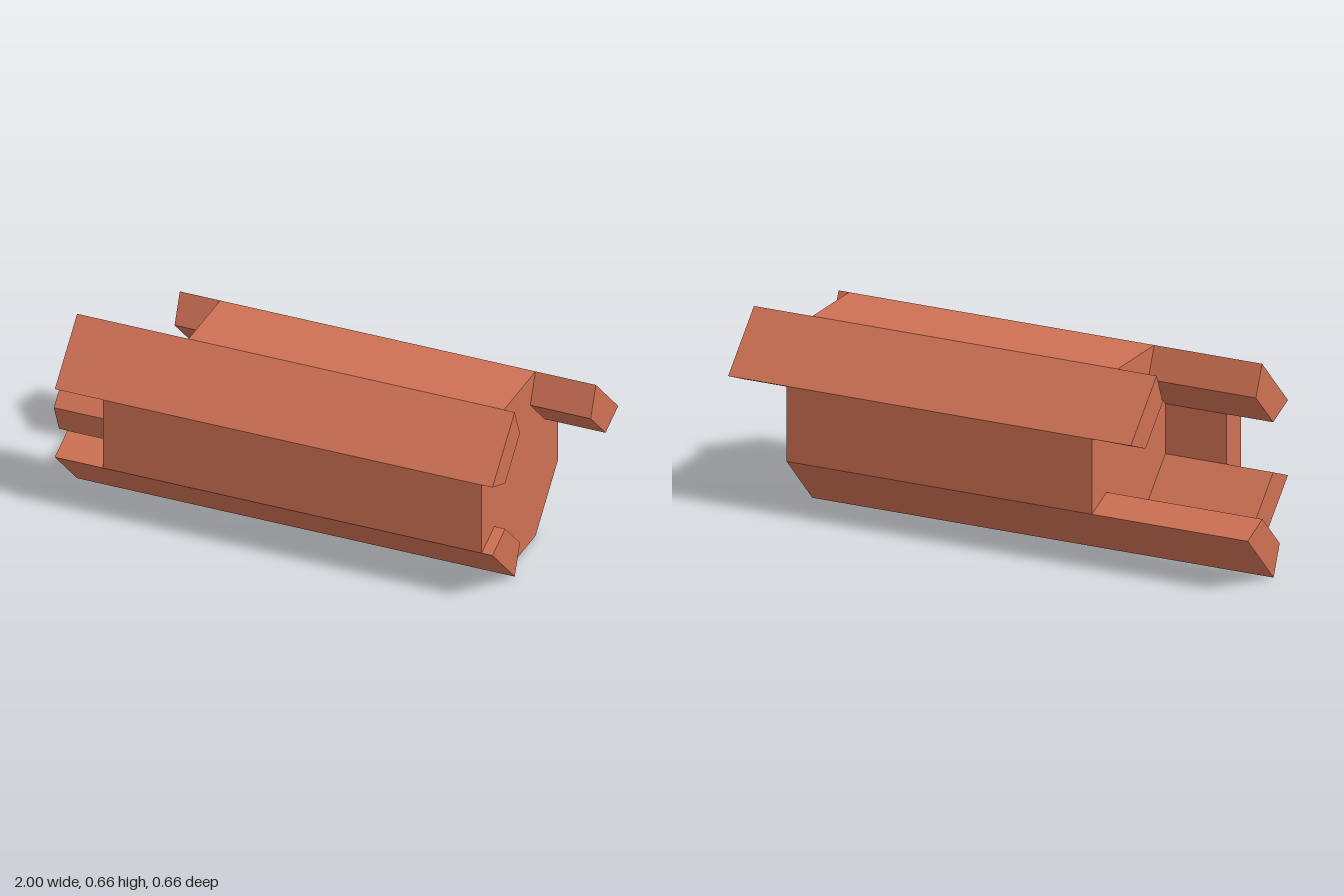
import * as THREE from 'three';

const APOTHEM = 0.33;
const OUTER = APOTHEM / Math.cos(Math.PI / 8);
const INNER = OUTER * 2 / 3;

// Corner of an octagon seen along x; angle 0 points to +z, 90 degrees to +y
function corner(radius, degrees) {
  const a = THREE.MathUtils.degToRad(degrees);
  return new THREE.Vector2(-radius * Math.cos(a), APOTHEM + radius * Math.sin(a));
}

// Prism with the given cross-section, running along x from x0 to x1
function prism(name, points, x0, x1, material) {
  const geometry = new THREE.ExtrudeGeometry(new THREE.Shape(points), {
    depth: x1 - x0, bevelEnabled: false,
  });
  geometry.rotateY(Math.PI / 2).translate(x0, 0, 0);
  const mesh = new THREE.Mesh(geometry, material);
  mesh.name = name;
  return mesh;
}

export function createModel() {
  const group = new THREE.Group();
  group.name = 'octagonalStaveBlock';
  const material = new THREE.MeshStandardMaterial({ color: 0xcd7053, flatShading: true });

  // Solid octagonal core
  const ring = [];
  for (let i = 0; i < 8; i++) ring.push(corner(INNER, 22.5 + i * 45));
  group.add(prism('core', ring, -0.4, 0.775, material));

  // Eight wedge-sided staves around the core: name, x start, x end
  const staves = [
    ['frontStave', -0.635, 0.775],
    ['topFrontStave', -0.815, 0.815],
    ['topStave', -0.4, 0.775],
    ['topBackStave', -0.55, 1],
    ['backStave', -0.4, 0.775],
    ['bottomBackStave', -1, 0.775],
    ['bottomStave', -0.455, 0.775],
    ['bottomFrontStave', -0.815, 0.815],
  ];
  staves.forEach(([name, x0, x1], i) => {
    const a = i * 45 - 22.5, b = a + 45;
    const wedge = [corner(OUTER, a), corner(OUTER, b), corner(INNER, b), corner(INNER, a)];
    group.add(prism(name, wedge, x0, x1, material));
  });

  return group;
}
